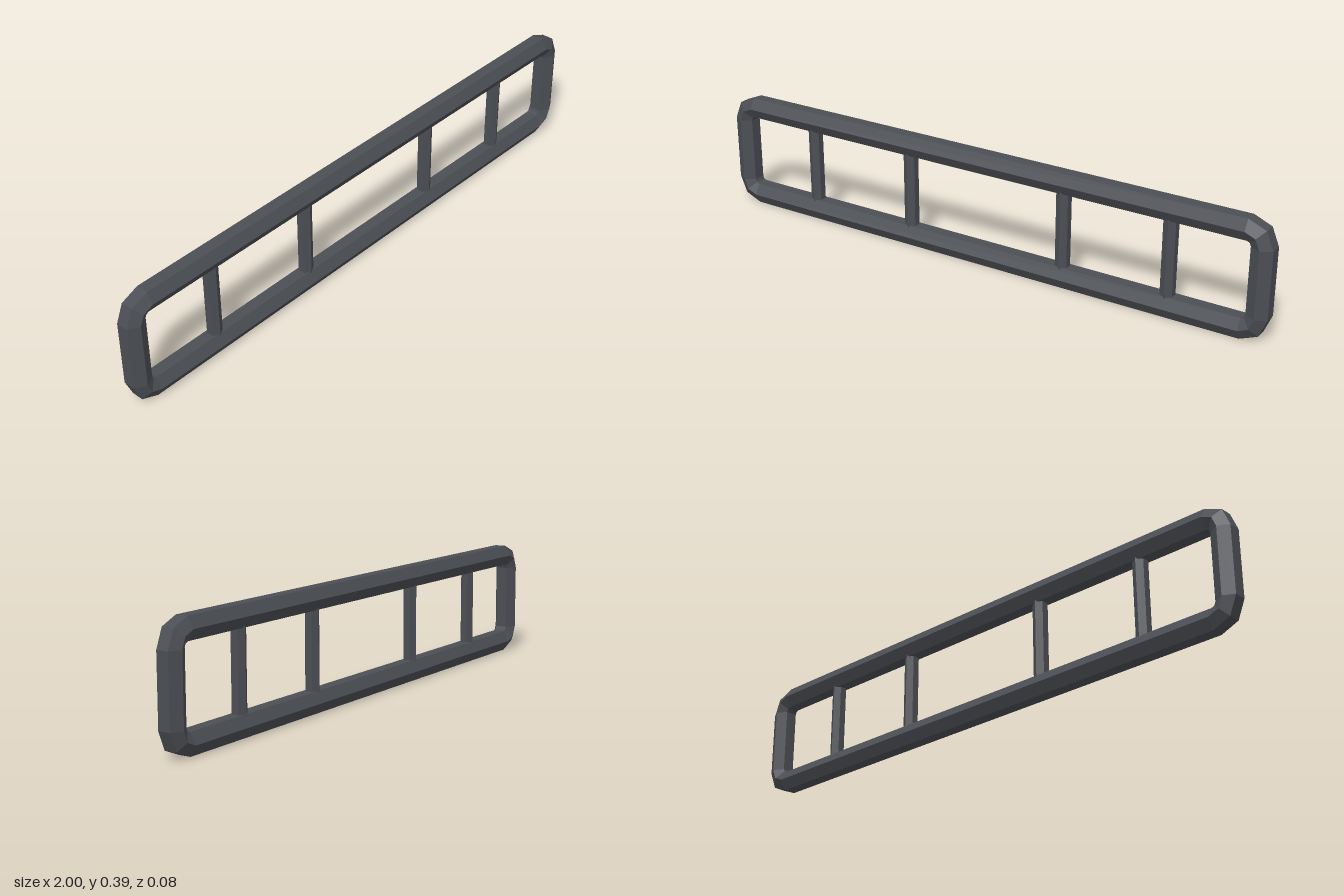
import * as THREE from 'three';

export function createModel() {
  const group = new THREE.Group();
  const darkMetal = new THREE.MeshStandardMaterial({ color: 0x4b4e54, flatShading: true });
  darkMetal.name = 'dark metal';

  // Hexagonal tube swept around a rounded rectangle, two segments per corner
  const tube = 0.04, bend = 0.049, midY = 0.194;
  const cornerX = 1 - bend - tube * Math.cos(Math.PI / 6);
  const cornerY = midY - bend - tube * Math.cos(Math.PI / 6);
  const corners = [[1, 1], [-1, 1], [-1, -1], [1, -1]];
  const positions = [], indices = [];
  corners.forEach(([sx, sy], c) => {
    for (let s = 0; s < 3; s++) {
      const angle = c * Math.PI / 2 + s * Math.PI / 4;
      for (let j = 0; j < 6; j++) {
        const a = Math.PI / 6 + j * Math.PI / 3;
        const r = bend + tube * Math.cos(a);
        positions.push(
          sx * cornerX + r * Math.cos(angle),
          midY + sy * cornerY + r * Math.sin(angle),
          tube * Math.sin(a));
      }
    }
  });
  const rings = 12;
  for (let i = 0; i < rings; i++) {
    for (let j = 0; j < 6; j++) {
      const i2 = (i + 1) % rings, j2 = (j + 1) % 6;
      const a = i * 6 + j, b = i2 * 6 + j, c = i2 * 6 + j2, d = i * 6 + j2;
      indices.push(a, b, c, a, c, d);
    }
  }
  const indexed = new THREE.BufferGeometry();
  indexed.setAttribute('position', new THREE.Float32BufferAttribute(positions, 3));
  indexed.setIndex(indices);
  const frameGeometry = indexed.toNonIndexed();
  frameGeometry.computeVertexNormals();
  const frame = new THREE.Mesh(frameGeometry, darkMetal);
  frame.name = 'frame';
  group.add(frame);

  // Thin hexagonal uprights between the top and bottom rails
  const barGeometry = new THREE.CylinderGeometry(0.024, 0.024, 0.3, 6);
  [-0.665, -0.27, 0.305, 0.67].forEach((x, i) => {
    const bar = new THREE.Mesh(barGeometry, darkMetal);
    bar.name = `upright${i + 1}`;
    bar.position.set(x, midY, 0);
    group.add(bar);
  });

  return group;
}
